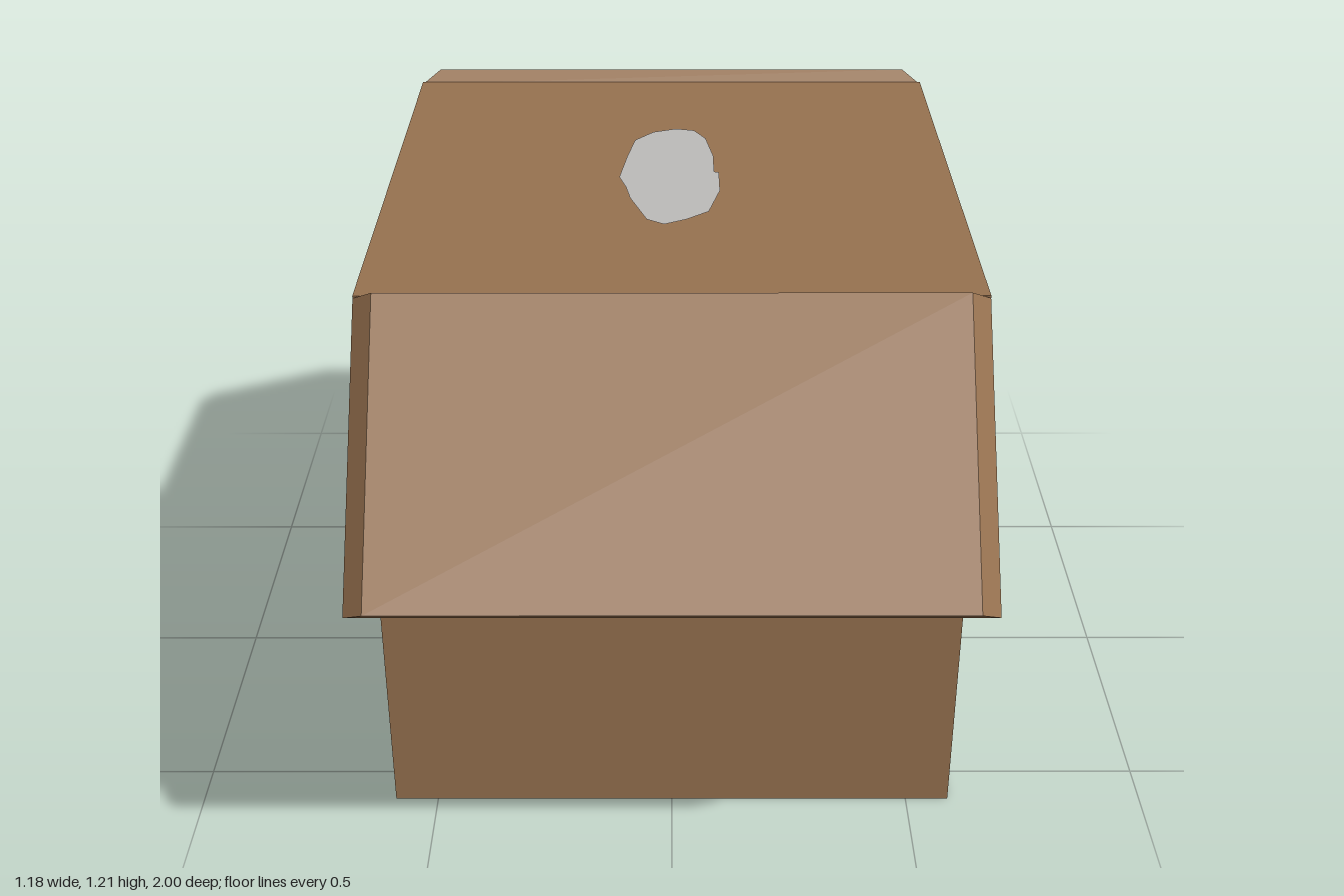
import * as THREE from 'three';

const cardboard = new THREE.MeshStandardMaterial({ color: 0x96714f });
cardboard.name = 'cardboard brown';
const label = new THREE.MeshStandardMaterial({ color: 0xbcbab8, side: THREE.DoubleSide });
label.name = 'patch grey';

const HALF = 0.59, HEIGHT = 1.19;

// Thick flap hinged at its top inner edge, with mitred sides
function makeFlap(name) {
  const length = 0.59, thickness = 0.04;
  const geo = new THREE.BoxGeometry(HALF * 2, length, thickness);
  geo.translate(0, -length / 2, thickness / 2);
  const pos = geo.attributes.position;
  for (let i = 0; i < pos.count; i++) {
    if (pos.getZ(i) > thickness / 2) pos.setX(i, Math.sign(pos.getX(i)) * 0.55);
  }
  geo.computeVertexNormals();
  const flap = new THREE.Mesh(geo, cardboard);
  flap.name = name;
  flap.position.set(0, HEIGHT - 0.005, HALF);
  flap.rotation.x = THREE.MathUtils.degToRad(-40);
  return flap;
}

export function createModel() {
  const model = new THREE.Group();
  model.name = 'cardboardBox';

  // Closed box body
  const body = new THREE.Mesh(new THREE.BoxGeometry(HALF * 2, HEIGHT, HALF * 2), cardboard);
  body.name = 'boxBody';
  body.position.y = HEIGHT / 2;
  model.add(body);

  // Open flaps at the front and back
  const front = new THREE.Group();
  front.name = 'frontSide';
  front.add(makeFlap('frontFlap'));
  const back = new THREE.Group();
  back.name = 'backSide';
  back.add(makeFlap('backFlap'));
  back.rotation.y = Math.PI;
  model.add(front, back);

  // Irregular patch on the lid, outlined in x and z
  const outline = [
    [0.01, -0.27], [0.05, -0.26], [0.075, -0.21], [0.09, -0.105], [0.09, -0.015], [0.1, -0.01],
    [0.1, 0.09], [0.075, 0.2], [0.03, 0.24], [-0.015, 0.265], [-0.05, 0.24], [-0.085, 0.13],
    [-0.095, 0.07], [-0.11, 0.015], [-0.095, -0.105], [-0.08, -0.2], [-0.04, -0.25],
  ];
  const shape = new THREE.Shape(outline.map(([x, z]) => new THREE.Vector2(x, -z)));
  const patch = new THREE.Mesh(new THREE.ShapeGeometry(shape), label);
  patch.name = 'lidPatch';
  patch.rotation.x = -Math.PI / 2;
  patch.position.y = HEIGHT + 0.003;
  model.add(patch);

  return model;
}
